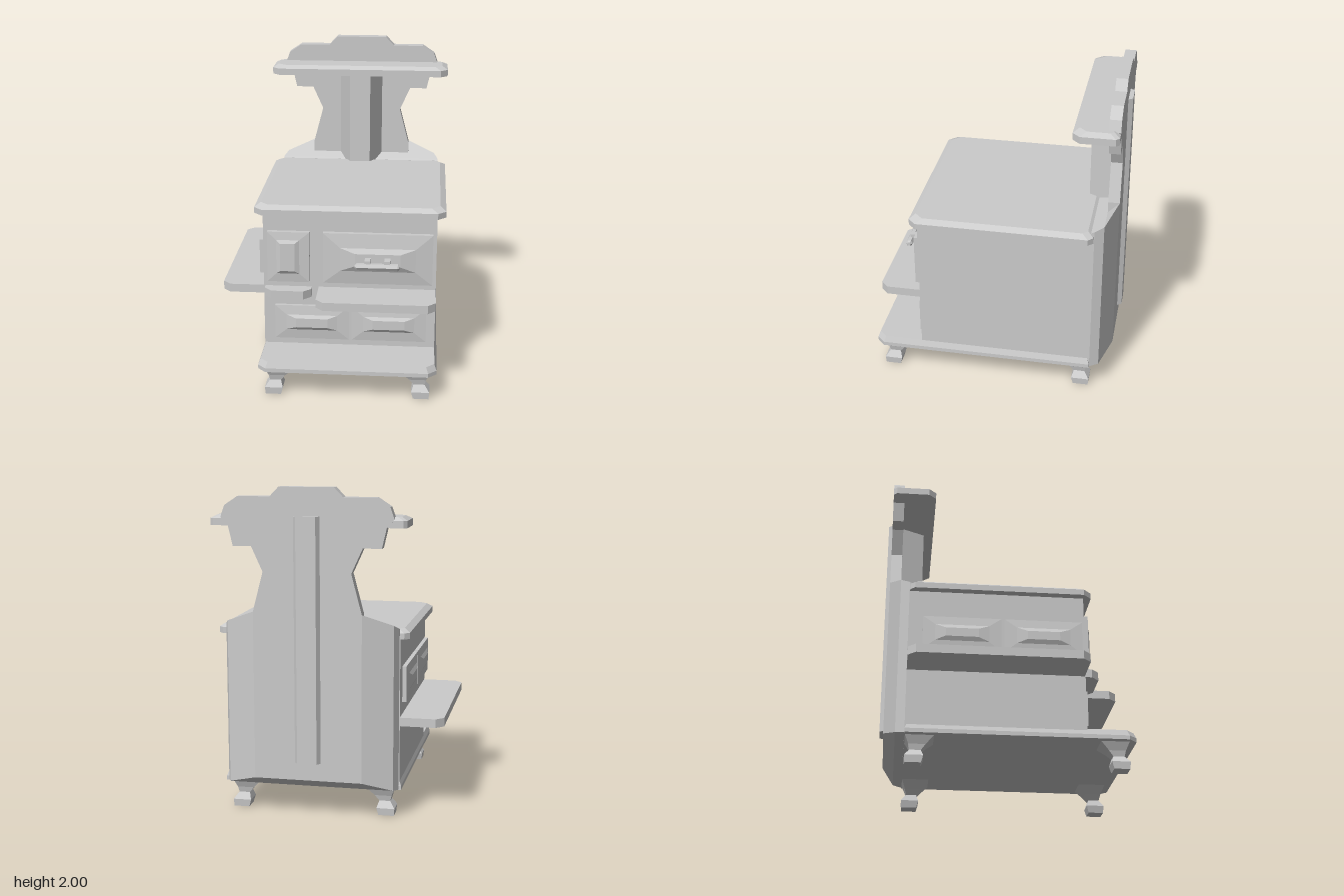
import * as THREE from 'three';

const material = new THREE.MeshStandardMaterial({ color: 0xcccccc, flatShading: true });
const CX = 0.105; // middle of the stove body
const v = (x, y, z) => new THREE.Vector3(x, y, z);

// Closed solid through convex rings of equal length, with flat faces.
function loft(rings) {
  const tris = [];
  const n = rings[0].length;
  for (let r = 0; r + 1 < rings.length; r++) {
    for (let i = 0; i < n; i++) {
      const j = (i + 1) % n;
      const a = rings[r][i], b = rings[r][j], c = rings[r + 1][j], d = rings[r + 1][i];
      tris.push([a, b, c], [a, c, d]);
    }
  }
  const first = rings[0], last = rings[rings.length - 1];
  for (let i = 1; i + 1 < n; i++) {
    tris.push([first[0], first[i + 1], first[i]], [last[0], last[i], last[i + 1]]);
  }
  // turn the solid outward if the rings ran the other way round
  const volume = tris.reduce((s, [a, b, c]) => s + a.dot(b.clone().cross(c)), 0);
  if (volume < 0) tris.forEach((t) => t.reverse());
  const geometry = new THREE.BufferGeometry().setFromPoints(tris.flat());
  geometry.computeVertexNormals();
  return geometry;
}

const rectXY = ([x0, x1, y0, y1], z) => [v(x0, y0, z), v(x1, y0, z), v(x1, y1, z), v(x0, y1, z)];
const rectXZ = ([x0, x1, z0, z1], y) => [v(x0, y, z0), v(x1, y, z0), v(x1, y, z1), v(x0, y, z1)];

// Rectangle with cut corners; cuts run back right, back left, front left, front right.
function cutRect([x0, x1, z0, z1], y, cuts) {
  const corners = [[x0, z0, 1, 1], [x1, z0, -1, 1], [x1, z1, -1, -1], [x0, z1, 1, -1]];
  return corners.flatMap(([x, z, sx, sz], i) => {
    const c = cuts[i];
    if (!c) return [v(x, y, z)];
    const onZ = v(x, y, z + sz * c), onX = v(x + sx * c, y, z);
    return i % 2 ? [onX, onZ] : [onZ, onX];
  });
}

export function createModel() {
  const model = new THREE.Group();
  const add = (name, geometry, parent = model) => {
    const mesh = new THREE.Mesh(geometry, material);
    mesh.name = name;
    parent.add(mesh);
    return mesh;
  };
  const box = (name, [x0, x1, y0, y1, z0, z1], parent) => {
    const g = new THREE.BoxGeometry(x1 - x0, y1 - y0, z1 - z0);
    g.translate((x0 + x1) / 2, (y0 + y1) / 2, (z0 + z1) / 2);
    return add(name, g, parent);
  };
  // layers are [height, inset] pairs
  const slab = (name, [x0, x1, z0, z1], layers, cuts) =>
    add(name, loft(layers.map(([y, d]) => cutRect([x0 + d, x1 - d, z0 + d, z1 - d], y, cuts))));

  // Body, base and cooking top
  box('body', [-0.435, 0.64, 0.2, 1.12, -0.62, 0.465]);
  slab('base', [-0.445, 0.655, -0.62, 0.768], [[0.17, 0], [0.195, 0], [0.233, 0.014]], [0, 0, 0.05, 0.05]);
  slab('cookingTop', [-0.487, 0.692, -0.617, 0.513], [[1.1, 0], [1.137, 0], [1.16, 0.036]], [0.03, 0.03, 0.05, 0.05]);

  // Side and front shelves
  const shelf = [[0.57, 0], [0.623, 0]];
  slab('sideShelf', [-0.698, -0.43, -0.62, 0.46], shelf, [0.047, 0, 0, 0.047]);
  slab('wideFrontShelf', [-0.09, 0.64, 0.45, 0.722], shelf, [0, 0, 0.047, 0.047]);
  slab('smallFrontShelf', [-0.425, -0.132, 0.45, 0.553], shelf, [0, 0, 0.047, 0.047]);

  // Doors: a thin frame with a raised, sloping middle
  const door = (name, outer, middle, inner, z, depths, parent) =>
    add(name, loft([rectXY(outer, z), rectXY(outer, z + depths[0]),
      rectXY(middle, z + depths[1]), rectXY(inner, z + depths[2])]), parent);
  door('ovenDoor', [-0.06, 0.617, 0.663, 0.99], [0.047, 0.513, 0.75, 0.9], [0.14, 0.42, 0.79, 0.87],
    0.46, [0.035, 0.048, 0.068]);
  door('fireDoor', [-0.407, -0.145, 0.663, 0.99], [-0.35, -0.207, 0.72, 0.94], [-0.325, -0.235, 0.74, 0.92],
    0.46, [0.035, 0.042, 0.055]);
  [-0.132, 0.352].forEach((x) => {
    door('lowerDoor', [x - 0.233, x + 0.233, 0.277, 0.5], [x - 0.16, x + 0.16, 0.34, 0.44],
      [x - 0.1, x + 0.1, 0.36, 0.42], 0.46, [0.026, 0.034, 0.048]);
  });

  // Pair of panels on the right side, turned to face -x
  const sidePanels = new THREE.Group();
  sidePanels.name = 'sidePanels';
  sidePanels.position.x = -0.43;
  sidePanels.rotation.y = -Math.PI / 2;
  model.add(sidePanels);
  [-0.292, 0.208].forEach((x) => {
    door('sidePanel', [x - 0.24, x + 0.24, 0.7, 0.92], [x - 0.165, x + 0.165, 0.76, 0.865],
      [x - 0.1, x + 0.1, 0.785, 0.84], 0, [0.03, 0.036, 0.048], sidePanels);
  });

  // Oven handle
  const handle = new THREE.Group();
  handle.name = 'ovenHandle';
  model.add(handle);
  const bar = new THREE.CylinderGeometry(0.022, 0.022, 0.25, 6);
  const barMesh = add('handleBar', bar, handle);
  barMesh.rotation.z = Math.PI / 2;
  barMesh.position.set(0.28, 0.811, 0.585);
  [-1, 1].forEach((s) => {
    const cap = add('handleEnd', new THREE.CylinderGeometry(0.012, 0.022, 0.012, 6), handle);
    cap.rotation.z = -s * Math.PI / 2;
    cap.position.set(0.28 + s * 0.131, 0.811, 0.585);
    const x = 0.28 + s * 0.06;
    box('handlePost', [x - 0.018, x + 0.018, 0.81, 0.848, 0.515, 0.59], handle);
  });

  // Legs: square sections, [height, outer offset, inner offset]
  const legShape = [[0, 0.004, 0.1], [0.045, 0, 0.112], [0.085, 0.03, 0.098], [0.12, 0.022, 0.125], [0.172, 0, 0.175]];
  [-1, 1].forEach((sx) => [[0.725, -1], [-0.617, 1]].forEach(([z, sz]) => {
    const ox = CX + sx * 0.51;
    add('leg', loft(legShape.map(([y, a, b]) =>
      rectXZ([ox - sx * a, ox - sx * b, z + sz * a, z + sz * b], y))));
  }));

  // Back casing, narrowing toward the rear
  const casing = (w, y0, y1, z) => rectXY([CX - w, CX + w, y0, y1], z);
  add('backCasing', loft([casing(0.535, 0.17, 1.155, -0.6), casing(0.535, 0.172, 1.165, -0.62), casing(0.51, 0.18, 1.19, -0.675)]));
  add('backCasingRear', loft([casing(0.51, 0.18, 1.19, -0.675), casing(0.33, 0.235, 1.26, -0.745)]));

  // Shaped back plate: half outline as [half width, height], mirrored
  const half = [[0.33, 1.15], [0.33, 1.26], [0.267, 1.5], [0.335, 1.65], [0.447, 1.65], [0.475, 1.77],
    [0.52, 1.82], [0.495, 1.89], [0.415, 1.943], [0.22, 1.943], [0.165, 2]];
  const outline = [...half.map(([w, y]) => [CX + w, y]), ...half.map(([w, y]) => [CX - w, y]).reverse()];
  const plate = new THREE.ExtrudeGeometry(
    new THREE.Shape(outline.map(([x, y]) => new THREE.Vector2(x, y))), { depth: 0.07, bevelEnabled: false });
  plate.translate(0, 0, -0.745);
  add('backPlate', plate);

  // Upper shelf, flue in front of the plate and rib behind it
  slab('upperShelf', [-0.487, 0.692, -0.744, -0.473], [[1.77, 0], [1.812, 0], [1.832, 0.036]], [0.02, 0.02, 0.045, 0.045]);
  const flue = (y) => [v(-0.04, y, -0.68), v(0.035, y, -0.535), v(0.172, y, -0.535), v(0.25, y, -0.68)];
  add('flue', loft([flue(1.15), flue(1.78)]));
  const rib = (y) => [v(0.022, y, -0.74), v(0.045, y, -0.772), v(0.165, y, -0.772), v(0.188, y, -0.74)];
  add('backRib', loft([rib(0.345), rib(1.83)]));

  return model;
}
